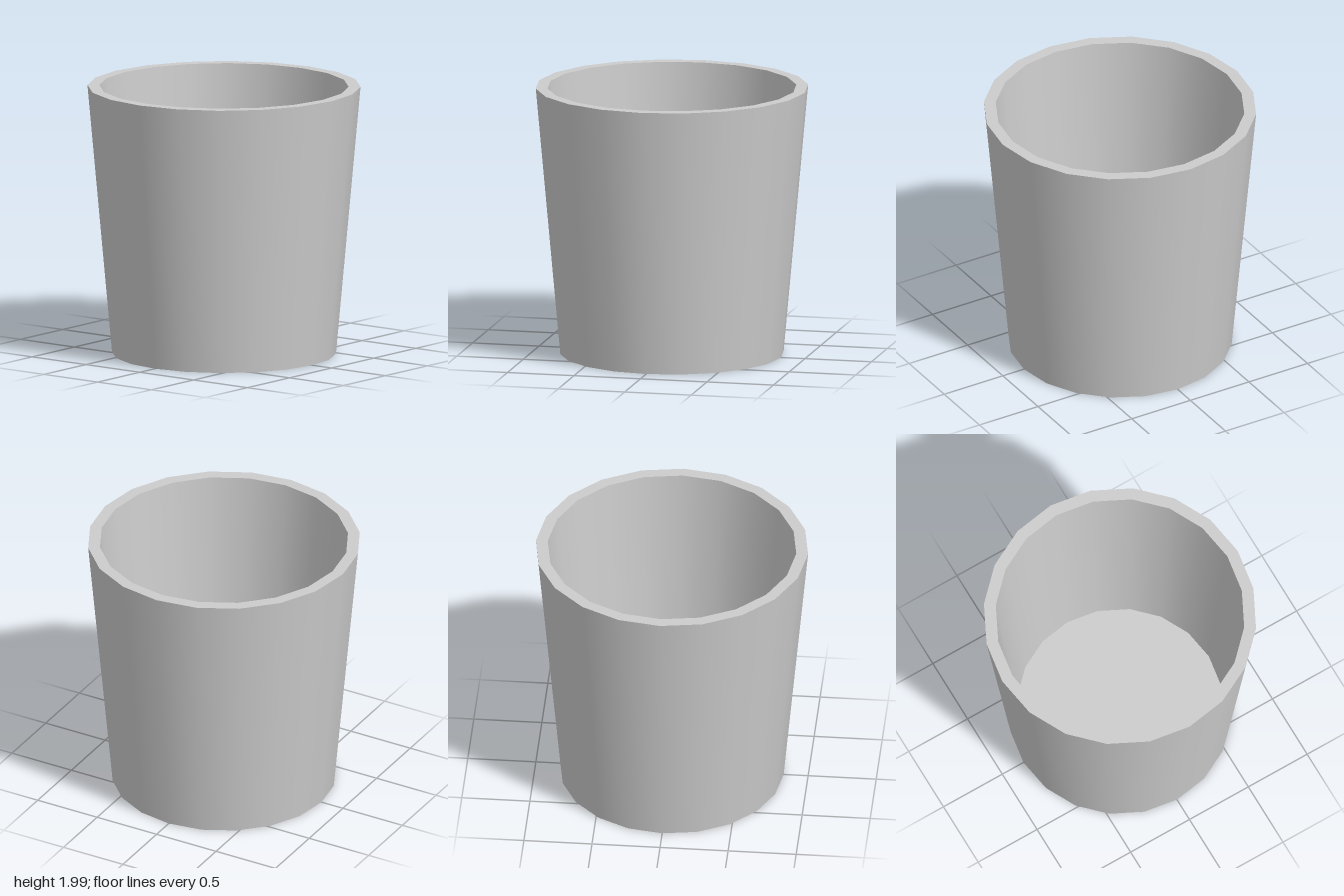
import * as THREE from 'three';

export function createModel() {
  const model = new THREE.Group();
  model.name = 'taperedCup';
  const material = new THREE.MeshStandardMaterial({ color: 0xcccccc });
  const SIDES = 20;

  // Profile corners as [radius, height]
  const bottomCentre = [0, 0];
  const outerBottom = [0.82, 0];
  const outerTop = [1, 1.985];
  const innerTop = [0.913, 1.985];
  const innerBottom = [0.755, 0.07];
  const floorCentre = [0, 0.07];

  // Each surface is turned separately: smooth around, sharp between surfaces
  const turn = (name, from, to) => {
    const profile = [from, to].map(([r, y]) => new THREE.Vector2(r, y));
    const mesh = new THREE.Mesh(new THREE.LatheGeometry(profile, SIDES), material);
    mesh.name = name;
    model.add(mesh);
  };

  turn('base', bottomCentre, outerBottom);
  turn('outerWall', outerBottom, outerTop);
  turn('rim', outerTop, innerTop);
  turn('innerWall', innerTop, innerBottom);
  turn('floor', innerBottom, floorCentre);

  return model;
}
